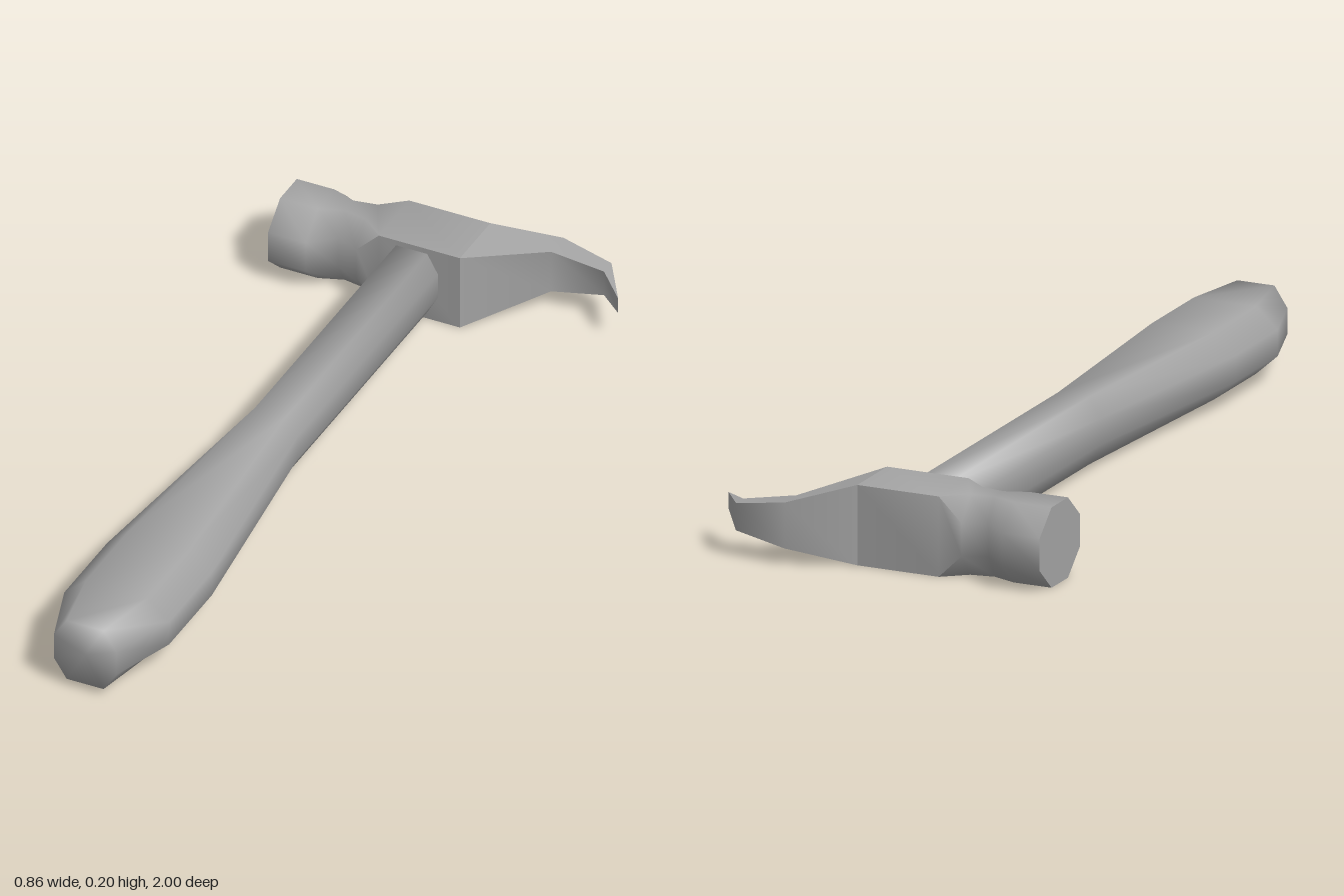
import * as THREE from 'three';
import { toCreasedNormals } from 'three/addons/utils/BufferGeometryUtils.js';

const material = new THREE.MeshStandardMaterial({ color: 0xa3a3a3 });
const MID = 0.102; // height of the centre line

// Chamfered rectangle, counter-clockwise, with half sizes p and q
const octagon = (p, q, kp, kq) => [
  [1, kq], [kp, 1], [-kp, 1], [-1, kq], [-1, -kq], [-kp, -1], [kp, -1], [1, -kq],
].map(([a, b]) => [a * p, b * q]);
const rectangle = (p, q) => [[p, q], [-p, q], [-p, -q], [p, -q]];

// Skin over a row of rings; a ring of zero size closes an end.
// Edges sharper than the crease angle stay hard.
function loft(name, rings, crease) {
  const n = rings[0].length, index = [];
  for (let i = 0; i < rings.length - 1; i++) {
    for (let j = 0; j < n; j++) {
      const a = i * n + j, b = i * n + (j + 1) % n;
      index.push(a, b, b + n, a, b + n, a + n);
    }
  }
  const geometry = new THREE.BufferGeometry();
  geometry.setAttribute('position', new THREE.Float32BufferAttribute(rings.flat(2), 3));
  geometry.setIndex(index);
  const mesh = new THREE.Mesh(toCreasedNormals(geometry, crease), material);
  mesh.name = name;
  return mesh;
}

// Ring across the head: the section lies in y and z
const across = (x, z, section) => section.map(([y, dz]) => [x, MID - 0.002 + y, z + dz]);

export function createModel() {
  const group = new THREE.Group();
  group.name = 'hammer';

  // Handle: constant height, swelling sideways into the grip: [z, half width, half height]
  const grip = [
    [-0.82, 0, 0], [-0.82, 0.07, 0.084], [0, 0.07, 0.084], [0.6, 0.139, 0.084],
    [0.83, 0.139, 0.084], [1, 0.083, 0.084], [1, 0, 0],
  ];
  group.add(loft('handle', grip.map(([z, w, h]) =>
    octagon(w, h, 0.59, 0.39).map(([x, y]) => [x - 0.063, MID + y, z])), 1.65));

  // Striking face, neck and body, going from octagonal to square:
  // [x, half height, half depth, chamfer]
  const head = [
    [-0.43, 0, 0, 0.41], [-0.43, 0.1, 0.11, 0.41], [-0.33, 0.1, 0.11, 0.41],
    [-0.27, 0.1, 0.057, 0.41], [-0.21, 0.1, 0.082, 0.41],
    [-0.15, 0.1, 0.082, 1], [0.065, 0.1, 0.082, 1],
  ];
  group.add(loft('head', head.map(([x, h, d, k]) => across(x, -0.84, octagon(h, d, k, k))), 1.25));

  // Claw: curved wedge narrowing to a sharp edge: [x, z, half height, half depth]
  const claw = [
    [0.065, -0.84, 0.1, 0.082], [0.22, -0.967, 0.057, 0.033],
    [0.355, -0.965, 0.034, 0.02], [0.427, -0.875, 0.021, 0],
  ];
  group.add(loft('claw', claw.map(([x, z, h, d]) => across(x, z, rectangle(h, d))), 1.2));

  return group;
}
